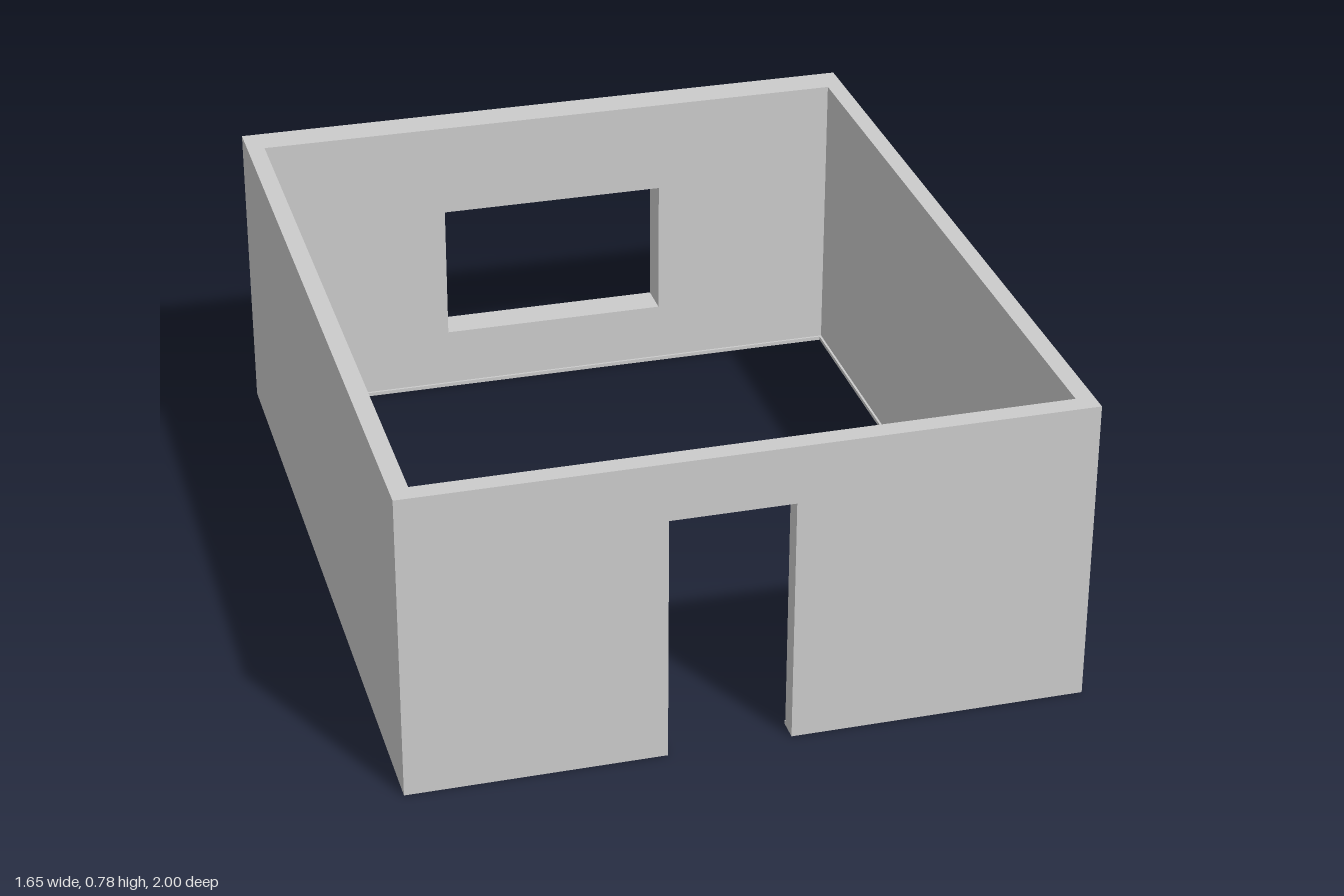
import * as THREE from 'three';

const W = 0.825, D = 1, H = 0.777;      // half width, half depth, height
const SIDE = 0.045, FRONT = 0.05, BACK = 0.092; // wall thicknesses
const LIP = 0.006, LIP_H = 0.01;        // thin skirting inside the walls

export function createModel() {
  const group = new THREE.Group();
  const material = new THREE.MeshStandardMaterial({ color: 0xcccccc });

  const add = (name, geometry) => {
    const mesh = new THREE.Mesh(geometry, material);
    mesh.name = name;
    group.add(mesh);
  };
  const box = (name, x0, x1, y0, y1, z0, z1) => add(name,
    new THREE.BoxGeometry(x1 - x0, y1 - y0, z1 - z0)
      .translate((x0 + x1) / 2, (y0 + y1) / 2, (z0 + z1) / 2));
  const points = (list) => list.map(([x, y]) => new THREE.Vector2(x, y));
  const wall = (name, shape, z0, depth) => add(name,
    new THREE.ExtrudeGeometry(shape, { depth, bevelEnabled: false }).translate(0, 0, z0));

  // Front wall with a doorway open to the ground
  const door = { x0: -0.2, x1: 0.1, top: 0.63 };
  wall('frontWall', new THREE.Shape(points([
    [-W, 0], [door.x0, 0], [door.x0, door.top], [door.x1, door.top],
    [door.x1, 0], [W, 0], [W, H], [-W, H],
  ])), D - FRONT, FRONT);

  // Back wall with a window opening
  const back = new THREE.Shape(points([[-W, 0], [W, 0], [W, H], [-W, H]]));
  back.holes.push(new THREE.Path(points([
    [-0.3, 0.165], [-0.3, 0.53], [0.3, 0.53], [0.3, 0.165],
  ])));
  wall('backWall', back, -D, BACK);

  // Side walls between front and back, each with its skirting
  const zb = -D + BACK, zf = D - FRONT, xi = W - SIDE;
  box('leftWall', xi, W, 0, H, zb, zf);
  box('rightWall', -W, -xi, 0, H, zb, zf);
  box('leftSkirting', xi - LIP, xi, 0, LIP_H, zb, zf);
  box('rightSkirting', -xi, -xi + LIP, 0, LIP_H, zb, zf);

  // Skirting along the back and on both sides of the doorway
  const xs = xi - LIP;
  box('backSkirting', -xs, xs, 0, LIP_H, zb, zb + LIP);
  box('frontSkirtingRight', -xs, door.x0, 0, LIP_H, zf - LIP, zf);
  box('frontSkirtingLeft', door.x1, xs, 0, LIP_H, zf - LIP, zf);

  return group;
}
